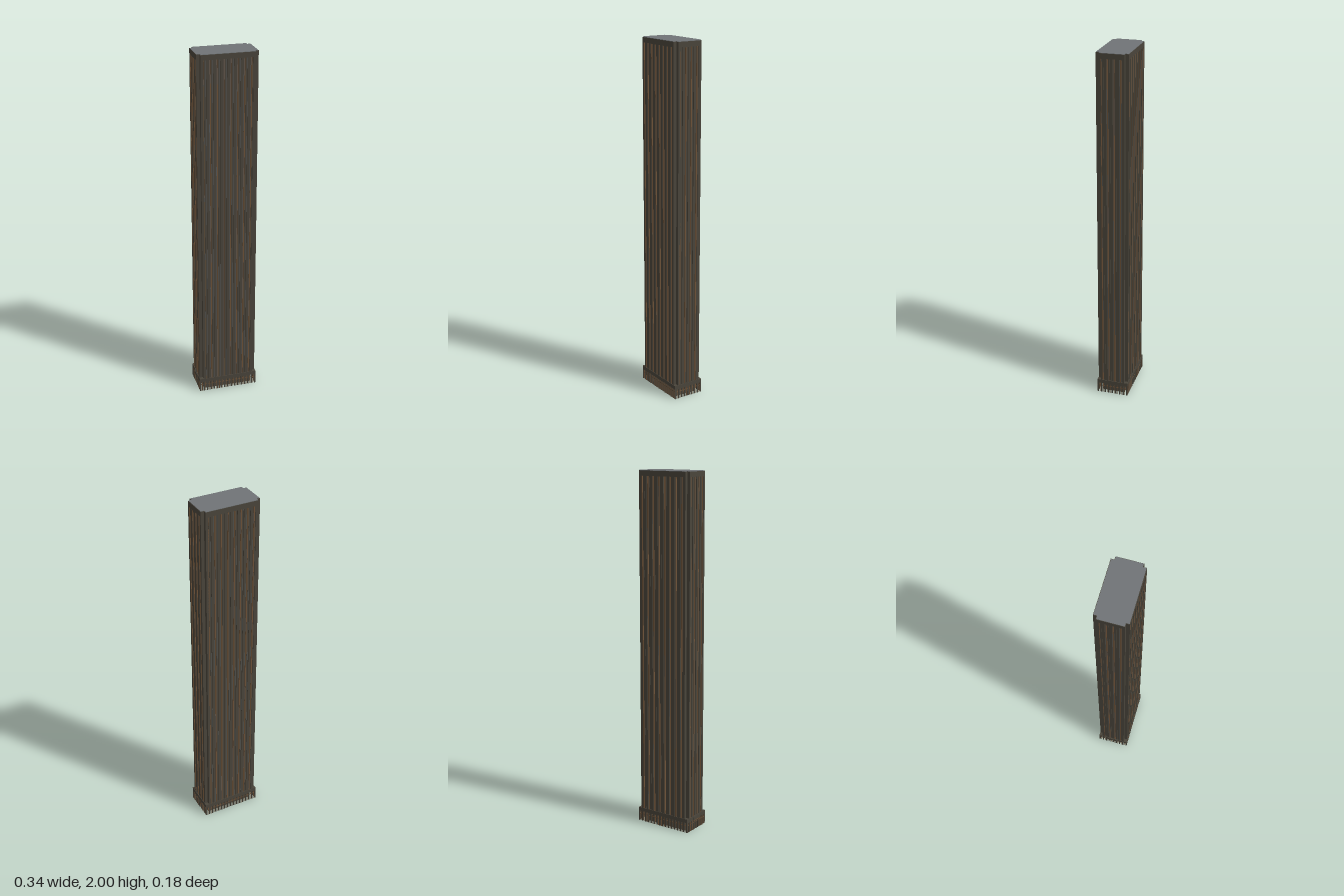
import * as THREE from 'three';

const paint = (name, color) => {
  const m = new THREE.MeshStandardMaterial({ color });
  m.name = name;
  return m;
};

export function createModel() {
  const dark = paint('dark bronze', 0x4a453b);
  const bronze = paint('bronze', 0x6e5238);
  const glass = paint('grey glass', 0x55595a);
  const roofGrey = paint('roof grey', 0x707477);
  const tower = new THREE.Group();
  tower.name = 'tower';

  const box = (parent, name, mat, w, h, d, x, y, z) => {
    const mesh = new THREE.Mesh(new THREE.BoxGeometry(w, h, d), mat);
    mesh.name = name;
    mesh.position.set(x, y, z);
    parent.add(mesh);
    return mesh;
  };

  // Rectangle with a square notch in each corner, extruded upwards
  const notched = (name, mat, hx, hz, n, y0, y1) => {
    const s = new THREE.Shape([
      [-hx + n, -hz], [hx - n, -hz], [hx - n, -hz + n], [hx, -hz + n],
      [hx, hz - n], [hx - n, hz - n], [hx - n, hz], [-hx + n, hz],
      [-hx + n, hz - n], [-hx, hz - n], [-hx, -hz + n], [-hx + n, -hz + n],
    ].map(([x, y]) => new THREE.Vector2(x, y)));
    const g = new THREE.ExtrudeGeometry(s, { depth: y1 - y0, bevelEnabled: false });
    g.rotateX(-Math.PI / 2);
    const mesh = new THREE.Mesh(g, mat);
    mesh.name = name;
    mesh.position.y = y0;
    tower.add(mesh);
  };

  const HX = 0.166, HZ = 0.088, NOTCH = 0.018;
  const Y0 = 0.06, Y1 = 1.97, H = Y1 - Y0, YM = (Y0 + Y1) / 2;

  // Shaft, crown band and roof
  notched('shaft', glass, HX - 0.006, HZ - 0.006, NOTCH - 0.004, Y0, Y1);
  notched('crownBand', dark, HX, HZ, NOTCH, Y1, 1.998);
  notched('roof', roofGrey, HX - 0.002, HZ - 0.002, NOTCH, 1.998, 2);

  // One facade in local space: width along x, facing +z
  const facade = (name, width, bays, dist, angle) => {
    const side = new THREE.Group();
    side.name = name;
    const step = width / bays;
    for (let i = 0; i <= bays; i++) {
      const x = -width / 2 + i * step;
      const end = i === 0 ? 1 : i === bays ? -1 : 0;
      box(side, 'pier', dark, 0.014, H, 0.007, x + end * 0.007, YM, dist - 0.0035);
      if (i === bays) continue;
      box(side, 'mullion', bronze, 0.005, H, 0.006, x + step * 0.38, YM, dist - 0.003);
      box(side, 'panel', dark, 0.009, H, 0.004, x + step * 0.62, YM, dist - 0.005);
    }
    side.rotation.y = angle;
    tower.add(side);
  };
  const wx = 2 * (HX - NOTCH), wz = 2 * (HZ - NOTCH);
  facade('frontFacade', wx, 8, HZ, 0);
  facade('backFacade', wx, 8, HZ, Math.PI);
  facade('leftFacade', wz, 4, HX, Math.PI / 2);
  facade('rightFacade', wz, 4, HX, -Math.PI / 2);

  // Dark linings of the corner notches
  for (const sx of [-1, 1]) for (const sz of [-1, 1]) {
    const cx = sx * (HX - NOTCH), cz = sz * (HZ - NOTCH);
    box(tower, 'notchLining', dark, 0.004, H, NOTCH, cx - sx * 0.002, YM, cz + sz * NOTCH / 2);
    box(tower, 'notchLining', dark, NOTCH, H, 0.004, cx + sx * NOTCH / 2, YM, cz - sz * 0.002);
    // Corner slab over the arcade
    box(tower, 'cornerSlab', dark, 0.02, 0.006, 0.02, sx * 0.157, 0.077, sz * 0.079);
  }

  // Recessed lobby
  box(tower, 'lobby', dark, 0.28, 0.06, 0.13, 0, 0.03, 0);

  // Arcade screen around the foot
  const screen = (name, width, posts, dist, angle) => {
    const side = new THREE.Group();
    side.name = name;
    box(side, 'topRail', dark, width, 0.022, 0.004, 0, 0.069, dist - 0.002);
    box(side, 'middleRail', bronze, width, 0.004, 0.002, 0, 0.042, dist - 0.002);
    for (let i = 0; i <= posts; i++) {
      const t = i / posts - 0.5;
      box(side, 'post', dark, 0.008, 0.06, 0.004, t * (width - 0.008), 0.03, dist - 0.002);
      if (i < posts) {
        box(side, 'thinPost', bronze, 0.003, 0.06, 0.003, (t + 0.5 / posts) * (width - 0.008), 0.03, dist - 0.002);
      }
    }
    side.rotation.y = angle;
    tower.add(side);
  };
  screen('frontScreen', 0.338, 16, 0.09, 0);
  screen('backScreen', 0.338, 16, 0.09, Math.PI);
  screen('leftScreen', 0.18, 8, 0.169, Math.PI / 2);
  screen('rightScreen', 0.18, 8, 0.169, -Math.PI / 2);

  // Entrance canopy
  box(tower, 'entranceCanopy', dark, 0.006, 0.02, 0.066, -0.169, 0.066, 0);
  box(tower, 'canopyTrim', bronze, 0.002, 0.004, 0.066, -0.171, 0.054, 0);

  return tower;
}
